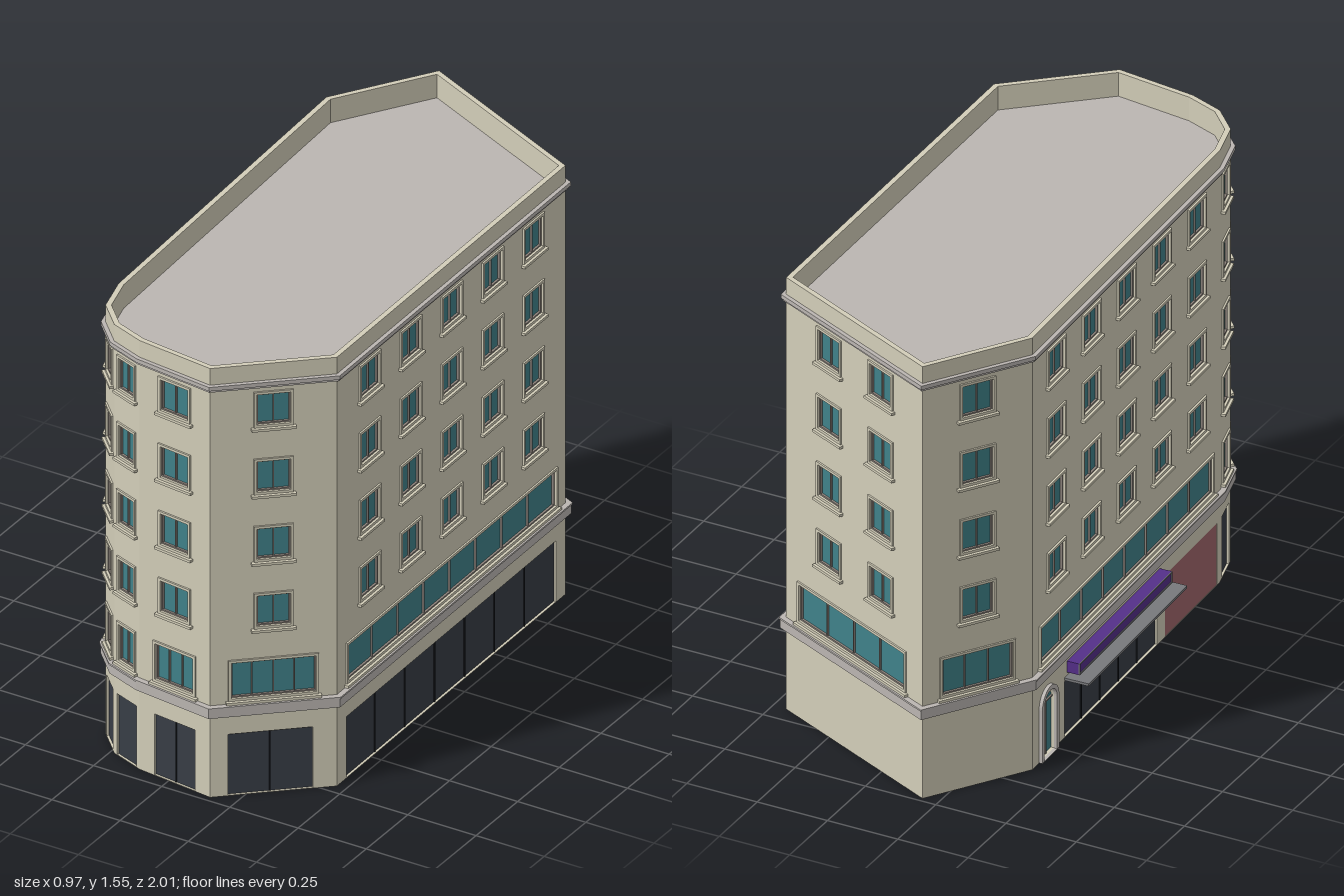
import * as THREE from 'three';

const mat = (name, color) => { const m = new THREE.MeshStandardMaterial({ color }); m.name = name; return m; };
const WALL = mat('cream wall', 0xd3ceb9), GLASS = mat('teal glass', 0x40828a), SHOP = mat('dark shopfront', 0x383d46),
  STONE = mat('grey stone', 0xbbb6b2), FRAME = mat('window frame', 0x8b827b), BLACK = mat('black divider', 0x1b1e23),
  CANOPY = mat('canopy grey', 0x78797c), PURPLE = mat('purple sign', 0x55308a), RED = mat('red shutter', 0xa0666b);

// Wall corners (x, z), in order so that each wall faces outward
const PLAN = [[-0.115, 0.945], [0.165, 0.98], [0.467, 0.712], [0.452, -0.685], [-0.195, -0.985],
  [-0.41, -0.66], [-0.357, 0.675], [-0.322, 0.81], [-0.235, 0.9]];
const TOP = 1.55, THICK = 0.018;
const FLOORS = [0.605, 0.847, 1.09, 1.332];

// Per wall: window centres and width, first-floor glazing and shopfront as [centre, width, panes]
const long = [-0.5, -0.25, 0, 0.25, 0.5];
const WALLS = [
  { name: 'frontWall', cols: [0], w: 0.11, strip: [0, 0.152, 3], shop: [0, 0.162, 2] },
  { name: 'frontLeftWall', cols: [0], w: 0.108, strip: [0, 0.27, 4], shop: [-0.01, 0.27, 2] },
  { name: 'leftWall', cols: long, w: 0.11, strip: [0, 1.27, 8], shop: [0, 1.28, 7] },
  { name: 'backLeftWall', cols: [-0.13, 0.14], w: 0.11, strip: [-0.01, 0.55, 4] },
  { name: 'backRightWall', cols: [0], w: 0.11, strip: [0, 0.25, 3] },
  { name: 'rightWall', cols: long, w: 0.11, strip: [0, 1.22, 8], shop: [-0.11, 0.66, 5], entrance: true },
  { name: 'bayWallA', cols: [0], w: 0.075, strip: [0, 0.075, 2], shop: [0, 0.095, 1] },
  { name: 'bayWallB', cols: [0], w: 0.075, strip: [0, 0.075, 2], shop: [0, 0.095, 1] },
  { name: 'bayWallC', cols: [0], w: 0.075, strip: [0, 0.075, 2], shop: [0, 0.1, 1] },
];

function add(parent, name, geo, material, x = 0, y = 0, z = 0) {
  const m = new THREE.Mesh(geo, material);
  m.name = name;
  m.position.set(x, y, z);
  parent.add(m);
  return m;
}
const box = (p, name, m, w, h, d, x, y, z) => add(p, name, new THREE.BoxGeometry(w, h, d), m, x, y, z);

function rect(path, x, y, w, h) {
  path.moveTo(x - w / 2, y);
  path.lineTo(x + w / 2, y);
  path.lineTo(x + w / 2, y + h);
  path.lineTo(x - w / 2, y + h);
  path.closePath();
  return path;
}
function arch(path, x, w, y0, spring) {
  path.moveTo(x - w / 2, y0);
  path.lineTo(x + w / 2, y0);
  path.lineTo(x + w / 2, spring);
  path.absarc(x, spring, w / 2, 0, Math.PI, false);
  path.closePath();
  return path;
}
const extrude = (shape, depth) => new THREE.ExtrudeGeometry(shape, { depth, bevelEnabled: false, curveSegments: 10 });

// Four bars around an opening
function surround(p, name, m, x, y, w, h, bar, depth, z) {
  const s = rect(new THREE.Shape(), x, y, w, h);
  s.holes.push(rect(new THREE.Path(), x, y + bar, w - 2 * bar, h - 2 * bar));
  add(p, name, extrude(s, depth), m, 0, 0, z);
}

function addWindow(p, x, y, w, h, panes) {
  box(p, 'windowGlass', GLASS, w, h, 0.004, x, y + h / 2, -0.012);
  surround(p, 'windowFrame', FRAME, x, y, w, h, 0.005, 0.008, -0.01);
  for (let i = 1; i < panes; i++) box(p, 'mullion', FRAME, 0.004, h, 0.007, x - w / 2 + i * w / panes, y + h / 2, -0.007);
  surround(p, 'windowTrim', WALL, x, y - 0.009, w + 0.018, h + 0.018, 0.009, 0.006, 0);
  box(p, 'sill', WALL, w + 0.034, 0.009, 0.014, x, y - 0.015, 0.007);
}

function addShop(p, x, w, h, panes) {
  box(p, 'shopfront', SHOP, w, h, 0.004, x, h / 2, -0.01);
  for (let i = 1; i < panes; i++) box(p, 'shopDivider', BLACK, 0.005, h, 0.004, x - w / 2 + i * w / panes, h / 2, -0.007);
  box(p, 'shopHead', BLACK, w, 0.004, 0.004, x, h - 0.002, -0.007);
}

// Plan outline moved outward by d, with mitred corners
function outline(d, path) {
  const n = PLAN.length;
  const pts = PLAN.map((b, i) => {
    const normal = (u, v) => new THREE.Vector2(-(v[1] - u[1]), v[0] - u[0]).normalize();
    const n1 = normal(PLAN[(i + n - 1) % n], b), n2 = normal(b, PLAN[(i + 1) % n]);
    const k = d / (1 + n1.dot(n2));
    return new THREE.Vector2(b[0] + (n1.x + n2.x) * k, -(b[1] + (n1.y + n2.y) * k));
  });
  return path.setFromPoints(pts);
}
function ring(p, name, m, outer, inner, y, h) {
  const s = outline(outer, new THREE.Shape());
  if (inner !== null) s.holes.push(outline(inner, new THREE.Path()));
  add(p, name, extrude(s, h), m, 0, y, 0).rotation.x = -Math.PI / 2;
}

function buildWall(spec, a, b) {
  const g = new THREE.Group();
  g.name = spec.name;
  const dx = b[0] - a[0], dz = b[1] - a[1], len = Math.hypot(dx, dz);
  g.position.set((a[0] + b[0]) / 2, 0, (a[1] + b[1]) / 2);
  g.rotation.y = Math.atan2(-dz, dx);

  const shape = rect(new THREE.Shape(), 0, 0, len, TOP);
  const hole = (x, y, w, h) => shape.holes.push(rect(new THREE.Path(), x, y, w, h));

  // Upper windows and first-floor glazing
  for (const x of spec.cols) for (const y of FLOORS) {
    hole(x, y, spec.w, 0.11);
    addWindow(g, x, y, spec.w, 0.11, 2);
  }
  const [sx, sw, panes] = spec.strip;
  hole(sx, 0.352, sw, 0.128);
  addWindow(g, sx, 0.352, sw, 0.128, panes);

  // Ground floor
  if (spec.shop) {
    const [x, w, n] = spec.shop, h = spec.entrance ? 0.2 : 0.222;
    hole(x, 0.002, w, h - 0.002);
    addShop(g, x, w, h, n);
  }
  if (spec.entrance) addEntrance(g, shape);
  add(g, 'wallPanel', extrude(shape, THICK), WALL, 0, 0, -THICK);
  return g;
}

// Arched door, canopy, sign and shutter on the long right wall
function addEntrance(g, shape) {
  const x = -0.56, w = 0.09, spring = 0.19;
  shape.holes.push(arch(new THREE.Path(), x, w, 0.002, spring));
  add(g, 'archedDoor', extrude(arch(new THREE.Shape(), x, w, 0, spring), 0.004), GLASS, 0, 0, -0.014);
  const trim = arch(new THREE.Shape(), x, w + 0.03, 0, spring);
  trim.holes.push(arch(new THREE.Path(), x, w, 0.001, spring));
  add(g, 'archTrim', extrude(trim, 0.012), STONE);
  box(g, 'doorMullion', FRAME, 0.005, spring, 0.006, x, spring / 2, -0.008);
  box(g, 'doorTransom', FRAME, w, 0.006, 0.006, x, spring, -0.008);

  box(g, 'canopy', CANOPY, 0.7, 0.009, 0.085, -0.09, 0.21, 0.0425);
  box(g, 'signBoard', PURPLE, 0.66, 0.04, 0.04, -0.09, 0.245, 0.02);
  surround(g, 'signFrame', CANOPY, -0.09, 0.225, 0.66, 0.04, 0.004, 0.004, 0.04);

  shape.holes.push(rect(new THREE.Path(), 0.46, 0.002, 0.37, 0.22));
  box(g, 'shutterBack', SHOP, 0.37, 0.222, 0.004, 0.46, 0.111, -0.012);
  box(g, 'shutter', RED, 0.37, 0.222, 0.008, 0.46, 0.111, -0.005);
}

export function createModel() {
  const model = new THREE.Group();
  model.name = 'cornerBuilding';
  WALLS.forEach((spec, i) => model.add(buildWall(spec, PLAN[i], PLAN[(i + 1) % PLAN.length])));

  // Roof and cornices
  ring(model, 'roof', STONE, -0.012, null, 1.455, 0.01);
  ring(model, 'lowerCornice', STONE, 0.016, -0.004, 0.293, 0.032);
  ring(model, 'lowerCorniceLip', STONE, 0.019, -0.004, 0.325, 0.006);
  ring(model, 'upperCornice', STONE, 0.009, -0.004, 1.468, 0.008);
  ring(model, 'upperCorniceLip', STONE, 0.014, -0.004, 1.476, 0.014);
  return model;
}
